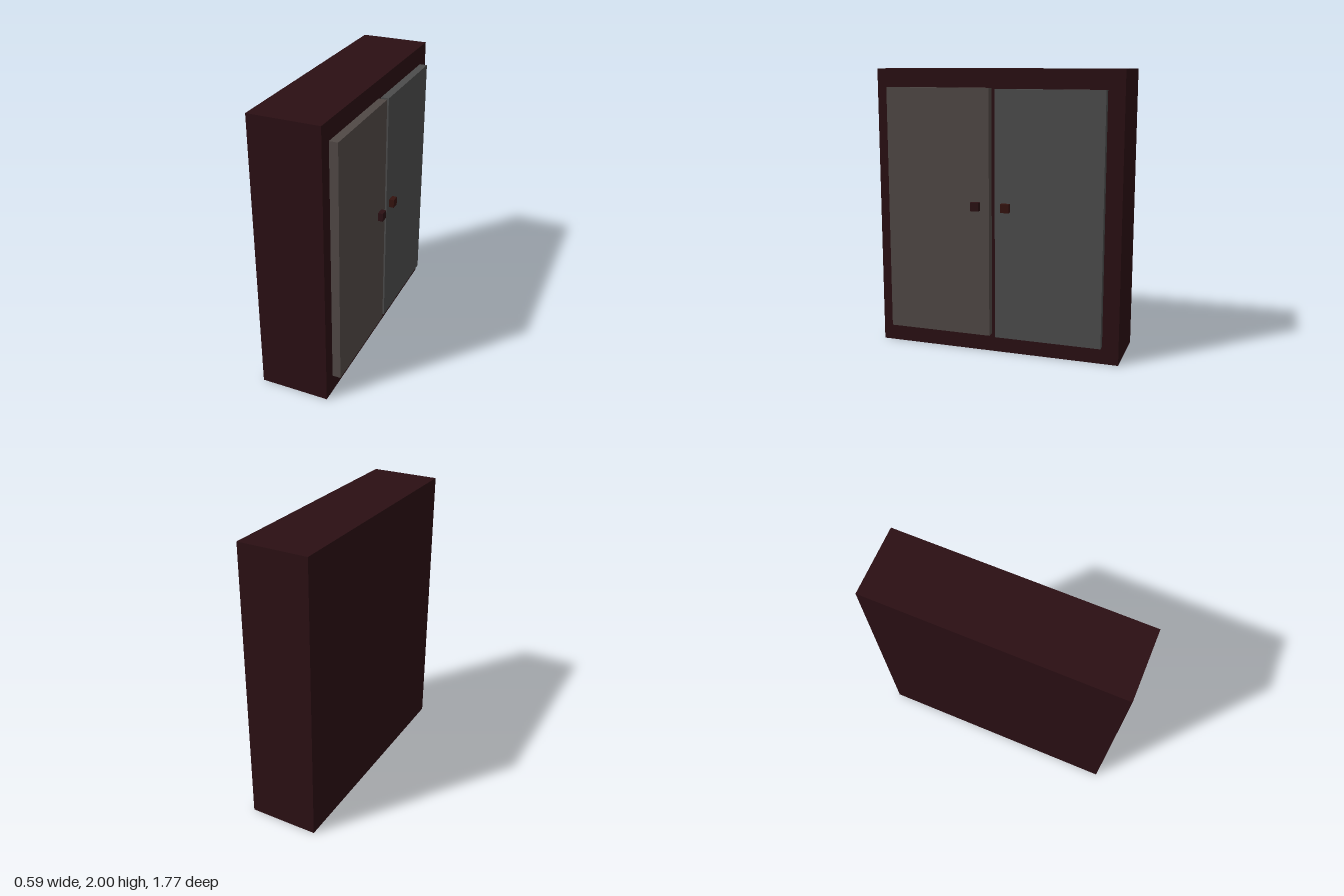
import * as THREE from 'three';

// Box given by its [min, max] extents along each axis
function block(name, color, [x0, x1], [y0, y1], [z0, z1]) {
  const mesh = new THREE.Mesh(
    new THREE.BoxGeometry(x1 - x0, y1 - y0, z1 - z0),
    new THREE.MeshStandardMaterial({ color })
  );
  mesh.position.set((x0 + x1) / 2, (y0 + y1) / 2, (z0 + z1) / 2);
  mesh.name = name;
  return mesh;
}

export function createModel() {
  const cabinet = new THREE.Group();
  cabinet.name = 'cabinet';
  const front = 0.197; // plane the doors are mounted on

  // Solid carcass
  cabinet.add(block('carcass', 0x2a0f13, [-0.293, front], [0, 2], [-0.884, 0.884]));

  // Two doors facing +x, each with a small square knob near the middle gap
  const doors = [
    { side: 'front', color: 0x504845, knobColor: 0x2a1013, face: 0.256, y: [0.132, 1.872], z: [0.029, 0.788], knobZ: [0.095, 0.155] },
    { side: 'rear', color: 0x4c4c4c, knobColor: 0x34130f, face: 0.252, y: [0.125, 1.866], z: [-0.77, -0.012], knobZ: [-0.123, -0.063] },
  ];
  for (const d of doors) {
    const door = new THREE.Group();
    door.name = d.side + 'Door';
    door.add(block(d.side + 'DoorPanel', d.color, [front, d.face], d.y, d.z));
    door.add(block(d.side + 'Knob', d.knobColor, [d.face, d.face + 0.036], [1.032, 1.092], d.knobZ));
    cabinet.add(door);
  }
  return cabinet;
}
